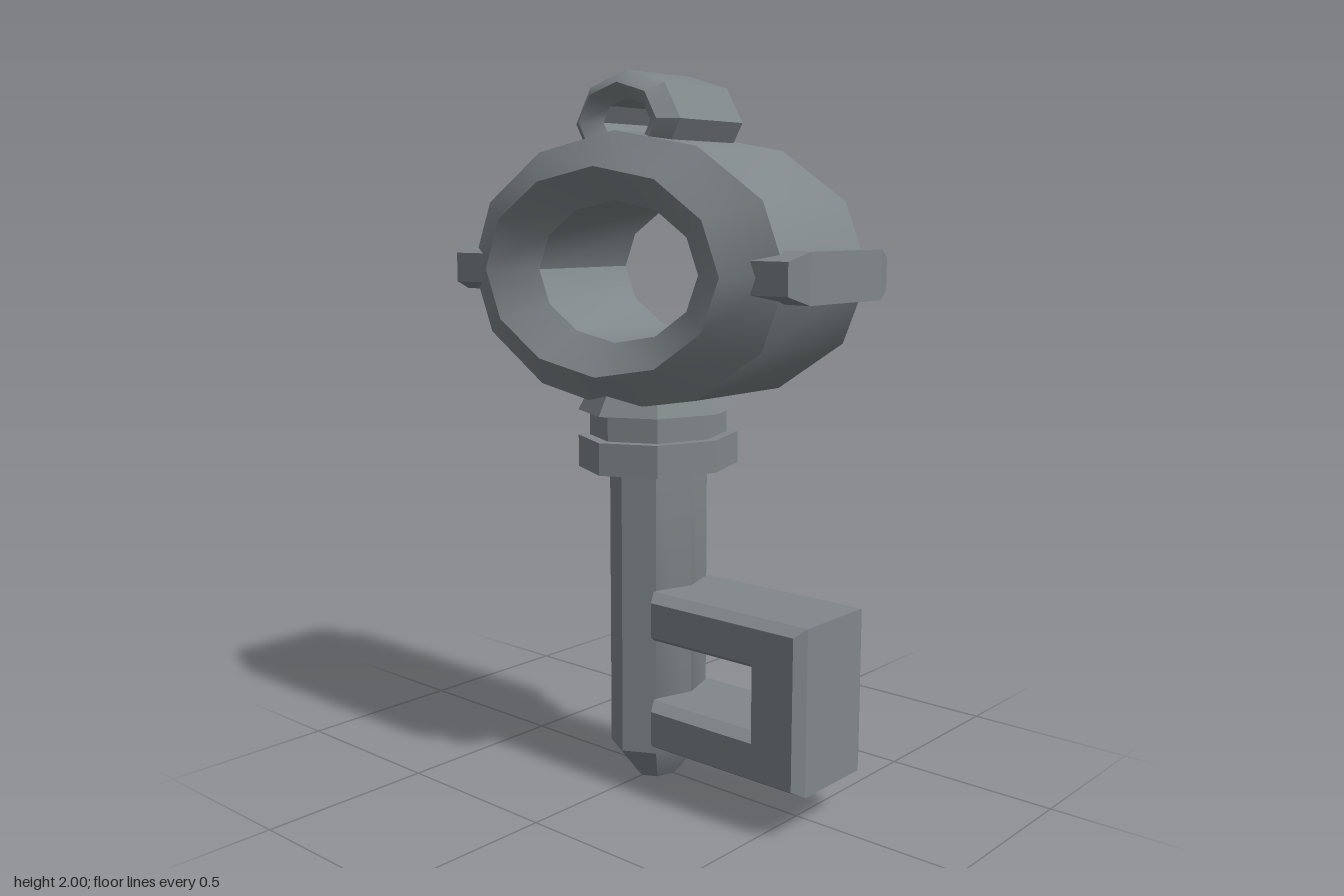
import * as THREE from 'three';
import { toCreasedNormals } from 'three/addons/utils/BufferGeometryUtils.js';

const pts = list => list.map(([a, b]) => new THREE.Vector2(a, b));

// Oval ring with a bevelled, six-cornered section; its axis runs along z
function ovalRing(rx, ry, wall, depth, sides) {
  const [ridge, inner] = [0.745, wall];
  const profile = pts([
    [1, -depth[0]], [1, depth[0]], [ridge, depth[1]],
    [inner, depth[0]], [inner, -depth[0]], [ridge, -depth[1]], [1, -depth[0]],
  ]);
  const geo = new THREE.LatheGeometry(profile, sides);
  geo.rotateX(Math.PI / 2).scale(rx, ry, 1);
  return toCreasedNormals(geo, 0.7);
}

// Eight-sided turned part, stretched along z
function turned(profile, stretch) {
  const geo = new THREE.LatheGeometry(pts(profile), 8);
  geo.scale(1, 1, stretch);
  return toCreasedNormals(geo, 0.6);
}

// Flat outline given a depth along z with one chamfer on each side
function chamfered(outline, halfDepth, chamfer, chamferDepth) {
  const core = halfDepth - chamferDepth;
  const geo = new THREE.ExtrudeGeometry(new THREE.Shape(pts(outline)), {
    depth: core * 2, bevelEnabled: true, bevelSegments: 1,
    bevelSize: chamfer, bevelThickness: chamferDepth,
  });
  return toCreasedNormals(geo.translate(0, 0, -core), 0.3);
}

export function createModel() {
  const key = new THREE.Group();
  key.name = 'key';
  const metal = new THREE.MeshStandardMaterial({ color: 0x80878a });
  metal.name = 'grey metal';

  const add = (name, geo, y = 0) => {
    const mesh = new THREE.Mesh(geo, metal);
    mesh.name = name;
    mesh.position.y = y;
    key.add(mesh);
    return mesh;
  };

  // Handle and hanging loop
  add('handleRing', ovalRing(0.575, 0.375, 0.51, [0.18, 0.262], 12), 1.465);
  add('hangingLoop', ovalRing(0.19, 0.135, 0.45, [0.13, 0.17], 8), 1.865);

  // Tabs on both sides of the handle
  for (const [name, side] of [['leftTab', 1], ['rightTab', -1]]) {
    const tab = add(name, chamfered(
      [[0.46, -0.042], [0.605, -0.042], [0.605, 0.042], [0.46, 0.042]],
      0.218, 0.023, 0.06), 1.465);
    if (side < 0) tab.rotation.y = Math.PI;
  }

  // Shaft with a tapered tip
  add('shaft', turned([[0, 0], [0.058, 0], [0.123, 0.1], [0.123, 0.95]], 1.27));

  // Collar, neck and flare below the handle
  add('collar', turned([[0, 0.915], [0.21, 0.915], [0.21, 1.005], [0, 1.005]], 1.17));
  add('neck', turned([[0.18, 1.0], [0.18, 1.08]], 1.17));
  add('flare', turned([[0, 1.077], [0.21, 1.077], [0.155, 1.19], [0, 1.19]], 1.17));

  // Bit: two arms joined by an end bar
  add('bit', chamfered([
    [0.11, 0.145], [0.593, 0.145], [0.593, 0.558], [0.11, 0.558],
    [0.11, 0.46], [0.462, 0.46], [0.462, 0.243], [0.11, 0.243],
  ], 0.157, 0.021, 0.035));

  return key;
}
